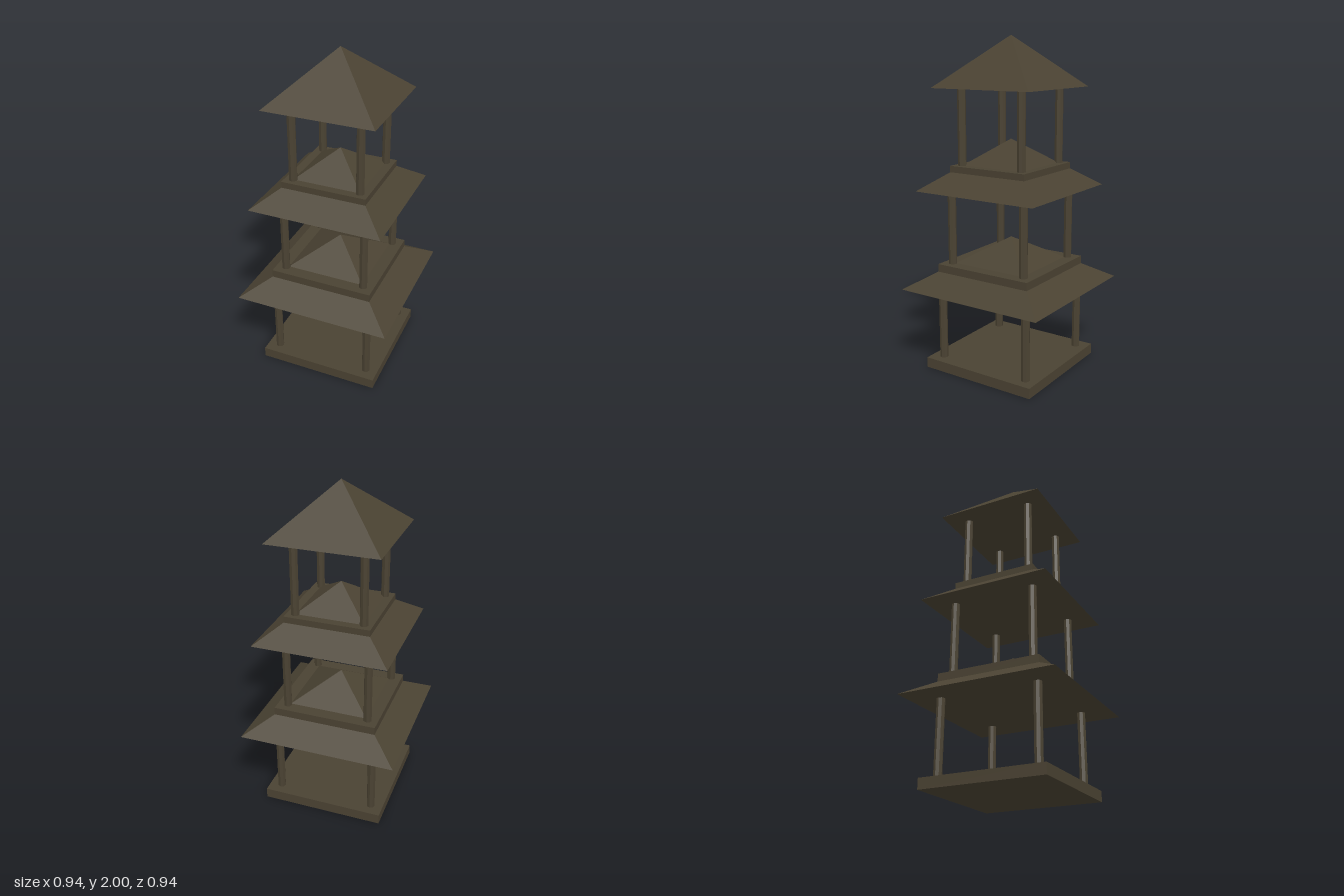
import * as THREE from 'three';

const POST_HEIGHT = 0.45, POST_RADIUS = 0.025, SLAB = 0.063, ROOF_HEIGHT = 0.296;

// Each storey: half width of its floor slab and its roof, and the height of the slab top
const STOREYS = [
  { floor: 0.372, roof: 0.472, y: 0.063 },
  { floor: 0.315, roof: 0.402, y: 0.659 },
  { floor: 0.257, roof: 0.33, y: 1.254 },
];

export function createModel() {
  const model = new THREE.Group();
  model.name = 'tieredPavilion';
  const wood = new THREE.MeshStandardMaterial({ color: 0x4a4232, flatShading: true });
  wood.name = 'dark weathered wood';

  const add = (parent, geometry, name, x, y, z) => {
    const mesh = new THREE.Mesh(geometry, wood);
    mesh.name = name;
    mesh.position.set(x, y, z);
    parent.add(mesh);
  };

  STOREYS.forEach(({ floor, roof, y }, i) => {
    const storey = new THREE.Group();
    storey.name = `storey${i + 1}`;
    model.add(storey);

    // Square floor slab
    add(storey, new THREE.BoxGeometry(floor * 2, SLAB, floor * 2), i ? 'floorSlab' : 'base', 0, y - SLAB / 2, 0);

    // Four corner posts
    const post = new THREE.CylinderGeometry(POST_RADIUS, POST_RADIUS, POST_HEIGHT, 8);
    const inset = floor * 0.8;
    for (const x of [-inset, inset])
      for (const z of [-inset, inset]) add(storey, post, 'cornerPost', x, y + POST_HEIGHT / 2, z);

    // Four-sided pyramid roof
    const pyramid = new THREE.ConeGeometry(roof * Math.SQRT2, ROOF_HEIGHT, 4);
    pyramid.rotateY(Math.PI / 4);
    add(storey, pyramid, 'roof', 0, y + POST_HEIGHT + ROOF_HEIGHT / 2, 0);
  });

  return model;
}
